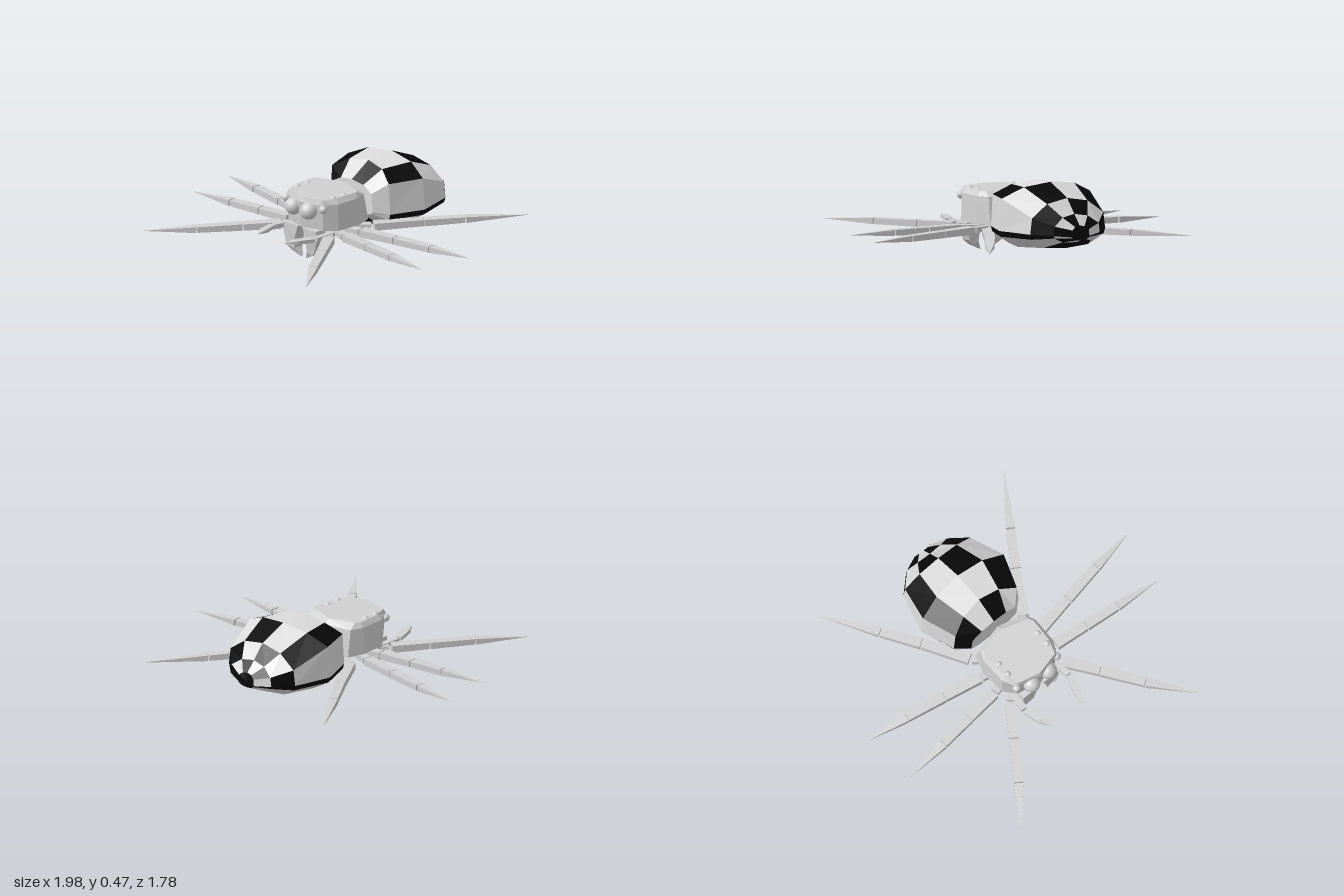
import * as THREE from 'three';

const paint = (name, color) => {
  const m = new THREE.MeshStandardMaterial({ color });
  m.name = name;
  return m;
};
const grey = paint('light grey', 0xd0d0d0);
const pale = paint('pale grey', 0xdcdcdc);
const black = paint('black', 0x080808);

// Separates the faces of a geometry so each one shades flat.
function faceted(geometry) {
  const g = geometry.toNonIndexed();
  g.computeVertexNormals();
  return g;
}

// Completes a half cross-section (first and last points on x = 0) by mirroring.
const mirrorRing = (half) =>
  [...half, ...half.slice(1, -1).reverse().map(([x, y, z]) => [-x, y, z])];

// Skins closed rings; faces where isBlack(row, column) go to the second material.
function loft(rings, isBlack = () => false) {
  const sets = [[], []];
  const n = rings[0].length;
  const mid = (ring) => [0, 1, 2].map((k) => ring.reduce((s, p) => s + p[k], 0) / n);
  const last = rings.length - 1;
  for (let c = 0; c < n; c++) {
    const e = (c + 1) % n;
    for (let r = 0; r < last; r++) {
      const [a, b, d, f] = [rings[r][c], rings[r][e], rings[r + 1][c], rings[r + 1][e]];
      sets[isBlack(r, c) ? 1 : 0].push(a, b, d, b, f, d);
    }
    sets[0].push(mid(rings[0]), rings[0][e], rings[0][c]);
    sets[isBlack(last, c) ? 1 : 0].push(mid(rings[last]), rings[last][c], rings[last][e]);
  }
  const g = new THREE.BufferGeometry();
  g.setAttribute('position', new THREE.Float32BufferAttribute([...sets[0], ...sets[1]].flat(), 3));
  g.addGroup(0, sets[0].length, 0);
  g.addGroup(sets[0].length, sets[1].length, 1);
  g.computeVertexNormals();
  return g;
}

function add(parent, name, geometry, material) {
  const mesh = new THREE.Mesh(geometry, material);
  mesh.name = name;
  parent.add(mesh);
  return mesh;
}

// Tapered four-sided limb piece between two points; w0 and w1 are half widths.
function segment(parent, name, a, b, w0, w1, flat = 0.65) {
  const from = new THREE.Vector3(...a);
  const to = new THREE.Vector3(...b);
  const g = new THREE.CylinderGeometry(w1 * Math.SQRT2, w0 * Math.SQRT2, from.distanceTo(to), 4);
  g.rotateY(Math.PI / 4);
  g.rotateX(Math.PI / 2);
  g.scale(1, flat, 1);
  const mesh = add(parent, name, faceted(g), grey);
  mesh.position.copy(from).lerp(to, 0.5);
  mesh.lookAt(to);
}

function abdomen() {
  // zTop, zSide, zBottom, top, shoulder, lower side, bottom, half width
  const rows = [
    [-0.146, -0.146, -0.146, 0.39, 0.34, 0.23, 0.187, 0.17],
    [-0.28, -0.215, -0.25, 0.475, 0.4, 0.215, 0.1, 0.245],
    [-0.47, -0.42, -0.42, 0.484, 0.403, 0.215, 0.098, 0.322],
    [-0.645, -0.65, -0.63, 0.41, 0.31, 0.215, 0.115, 0.26],
    [-0.72, -0.745, -0.745, 0.326, 0.265, 0.21, 0.163, 0.16],
    [-0.775, -0.787, -0.787, 0.264, 0.24, 0.2, 0.178, 0.06],
  ];
  const rings = rows.map(([zt, zs, zb, t, s, l, b, w]) => mirrorRing([
    [0, t, zt],
    [w * 0.54, t - (t - s) * 0.25, zt * 0.7 + zs * 0.3],
    [w * 0.95, s, zs],
    [w, l, zs],
    [w * 0.96, l - (l - b) * 0.3, zs],
    [w * 0.6, b + (l - b) * 0.12, zb],
    [0, b, zb],
  ]));
  // checks per ring, clockwise from the top centre
  const checks = [
    'X....XX..XX.',
    '.X.X.XX.X.X.',
    'X..X.XX.X.X.',
    '.XXX.XX.XX.X',
    'X.X.X.X.X.X.',
    'XXXXXXXXXXXX',
  ];
  return loft(rings, (r, c) => checks[r][c] === 'X');
}

function carapace() {
  const half = [
    [0.2, [[0, 0.265], [0.14, 0.23], [0.2, 0.16], [0.208, 0], [0.175, -0.105], [0, -0.14]]],
    [0.36, [[0, 0.28], [0.15, 0.24], [0.193, 0.16], [0.197, 0], [0.168, -0.075], [0, -0.115]]],
    [0.39, [[0, 0.27], [0.14, 0.235], [0.17, 0.15], [0.178, 0], [0.16, -0.03], [0, -0.08]]],
  ];
  return loft(half.map(([y, pts]) => mirrorRing(pts.map(([x, z]) => [x, y, z]))));
}

export function createModel() {
  const model = new THREE.Group();
  model.name = 'spider';

  add(model, 'abdomen', abdomen(), [pale, black]);
  add(model, 'carapace', carapace(), grey);

  // Plate under the body where the legs meet
  const plate = new THREE.CylinderGeometry(0.1, 0.1, 0.06, 10);
  plate.scale(1, 1, 1.3);
  add(model, 'sternum', faceted(plate), grey).position.set(0, 0.172, 0.07);

  // Legs: body end, first joint, second joint, tip, each as [x, z]
  const legs = {
    frontLeg: [[0.195, 0.235], [0.325, 0.42], [0.48, 0.645], [0.67, 0.89]],
    frontMiddleLeg: [[0.23, 0.13], [0.44, 0.155], [0.655, 0.18], [0.94, 0.212]],
    rearMiddleLeg: [[0.23, 0.005], [0.465, -0.037], [0.715, -0.08], [0.99, -0.12]],
    rearLeg: [[0.2, -0.115], [0.355, -0.37], [0.49, -0.575], [0.702, -0.89]],
  };
  const names = ['femur', 'shin', 'foot'];
  const widths = [[0.033, 0.029], [0.03, 0.026], [0.027, 0.001]];

  for (const side of [1, -1]) {
    const sideName = side > 0 ? 'left' : 'right';
    const p = (x, y, z) => [side * x, y, z];

    for (const [legName, pts] of Object.entries(legs)) {
      const leg = new THREE.Group();
      leg.name = `${sideName} ${legName}`;
      model.add(leg);
      const [hx, hz] = pts[0];
      segment(leg, 'hip', p(0.05, 0.163, 0.07 + (hz - 0.07) * 0.25),
        p(hx * 0.97, 0.163, hz - (hz - 0.07) * 0.03), 0.02, 0.026);
      names.forEach((name, i) => {
        const a = new THREE.Vector2(...pts[i]);
        const b = new THREE.Vector2(...pts[i + 1]);
        const start = a.clone().lerp(b, 0.025);
        segment(leg, name, p(start.x, 0.163, start.y), p(b.x, 0.163, b.y), ...widths[i]);
      });
    }

    // Feelers beside the jaws
    segment(model, `${sideName} feelerBase`, p(0.15, 0.17, 0.16), p(0.168, 0.18, 0.325), 0.018, 0.018);
    segment(model, `${sideName} feelerMiddle`, p(0.168, 0.182, 0.335), p(0.135, 0.188, 0.44), 0.02, 0.022, 0.5);
    segment(model, `${sideName} feelerTip`, p(0.135, 0.188, 0.44), p(0.11, 0.19, 0.51), 0.022, 0.003, 0.5);

    // Jaw with a curved fang
    const jaw = new THREE.Shape([
      [0.02, 0.205], [0.13, 0.205], [0.135, 0.15], [0.115, 0.07], [0.085, 0.04],
      [0.02, 0.01], [0.05, 0.06], [0.045, 0.12],
    ].map(([x, y]) => new THREE.Vector2(side * x, y)));
    const jawGeometry = new THREE.ExtrudeGeometry(jaw, { depth: 0.075, bevelEnabled: false });
    const pos = jawGeometry.attributes.position;
    for (let i = 0; i < pos.count; i++) {
      const k = THREE.MathUtils.clamp(pos.getY(i) / 0.07, 0.2, 1);
      pos.setZ(i, 0.24 + (pos.getZ(i) - 0.0375) * k);
    }
    jawGeometry.computeVertexNormals();
    add(model, `${sideName} jaw`, jawGeometry, grey);

    // Eyes: large front, small front corner, two on the top
    const eyes = [
      ['frontEye', 0.063, 0.316, 0.268, 0.051],
      ['cornerEye', 0.152, 0.338, 0.24, 0.024],
      ['topEyeFront', 0.148, 0.38, 0.155, 0.022],
      ['topEyeBack', 0.148, 0.378, 0.073, 0.022],
    ];
    for (const [name, x, y, z, r] of eyes) {
      add(model, `${sideName} ${name}`, new THREE.SphereGeometry(r, 20, 14), grey)
        .position.set(side * x, y, z);
    }
  }
  return model;
}
